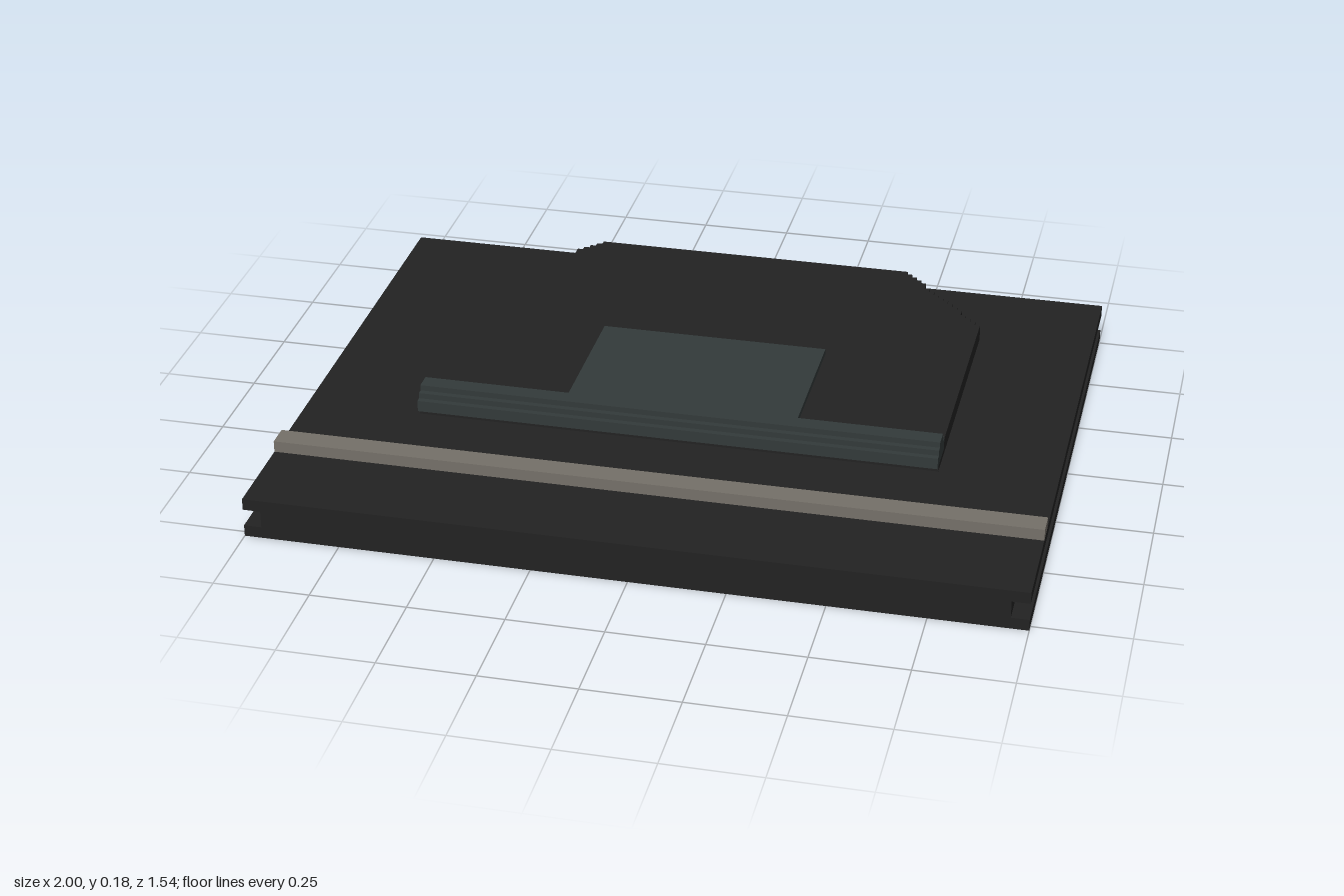
import * as THREE from 'three';

// Everything sits on a fine block grid: one unit U is 1/65
const U = 2 / 130;

export function createModel() {
  const group = new THREE.Group();
  group.name = 'slabConsole';

  const black = new THREE.MeshStandardMaterial({ color: 0x222222 });
  black.name = 'charcoal black';
  const slate = new THREE.MeshStandardMaterial({ color: 0x333a3a });
  slate.name = 'dark slate';
  const stone = new THREE.MeshStandardMaterial({ color: 0x757069 });
  stone.name = 'warm grey';

  const add = (name, geometry, material) => {
    const mesh = new THREE.Mesh(geometry, material);
    mesh.name = name;
    group.add(mesh);
    return mesh;
  };

  // Box centred on x, given by half width and y / z ranges in grid units
  const block = (name, halfX, y0, y1, z0, z1, material) => {
    const g = new THREE.BoxGeometry(2 * halfX * U, (y1 - y0) * U, (z1 - z0) * U);
    g.translate(0, ((y0 + y1) / 2) * U, ((z0 + z1) / 2) * U);
    return add(name, g, material);
  };

  // Base slab: two full plates around a core recessed at both sides,
  // with a thin slot along the back
  block('bottomPlate', 65, 0, 2, -50, 50, black);
  block('slotCore', 62, 2, 3, -49, 50, black);
  block('grooveCore', 62, 3, 5, -50, 50, black);
  block('topPlate', 65, 5, 7, -50, 50, black);

  // Raised deck with stair-stepped rear corners
  const edge = [[45, 10], [45, -31]];
  const steps = 17;
  for (let i = 1; i <= steps; i++) {
    const z = -31 - Math.round((i * 19) / steps);
    edge.push([45 - i + 1, z], [45 - i, z]);
  }
  const right = edge.filter((p, i) => i === 0 || p[0] !== edge[i - 1][0] || p[1] !== edge[i - 1][1]);
  const left = right.map(([x, z]) => [-x, z]).reverse();
  const outline = [...right, ...left].map(([x, z]) => new THREE.Vector2(x * U, -z * U));
  const deck = new THREE.ExtrudeGeometry(new THREE.Shape(outline), { depth: 3 * U, bevelEnabled: false });
  deck.rotateX(-Math.PI / 2);
  deck.translate(0, 7 * U, 0);
  add('raisedDeck', deck, black);

  // Stepped roller along the front of the deck, on a low foot
  block('rollerFoot', 45, 7, 8, 10, 16, black);
  const half = [[3.5, 8], [3.5, 10], [2.5, 10], [2.5, 11], [1.5, 11], [1.5, 12]];
  const profile = [...half, ...half.map(([z, y]) => [-z, y]).reverse()]
    .map(([z, y]) => new THREE.Vector2(z * U, y * U));
  const roller = new THREE.ExtrudeGeometry(new THREE.Shape(profile), { depth: 90 * U, bevelEnabled: false });
  roller.rotateY(Math.PI / 2);
  roller.translate(-45 * U, 0, 13.5 * U);
  add('roller', roller, slate);

  // Flat panel behind the roller and the bar across the front
  block('centrePanel', 20, 10, 11, -15, 11, slate);
  block('frontBar', 65, 7, 9, 30, 34, stone);

  return group;
}
